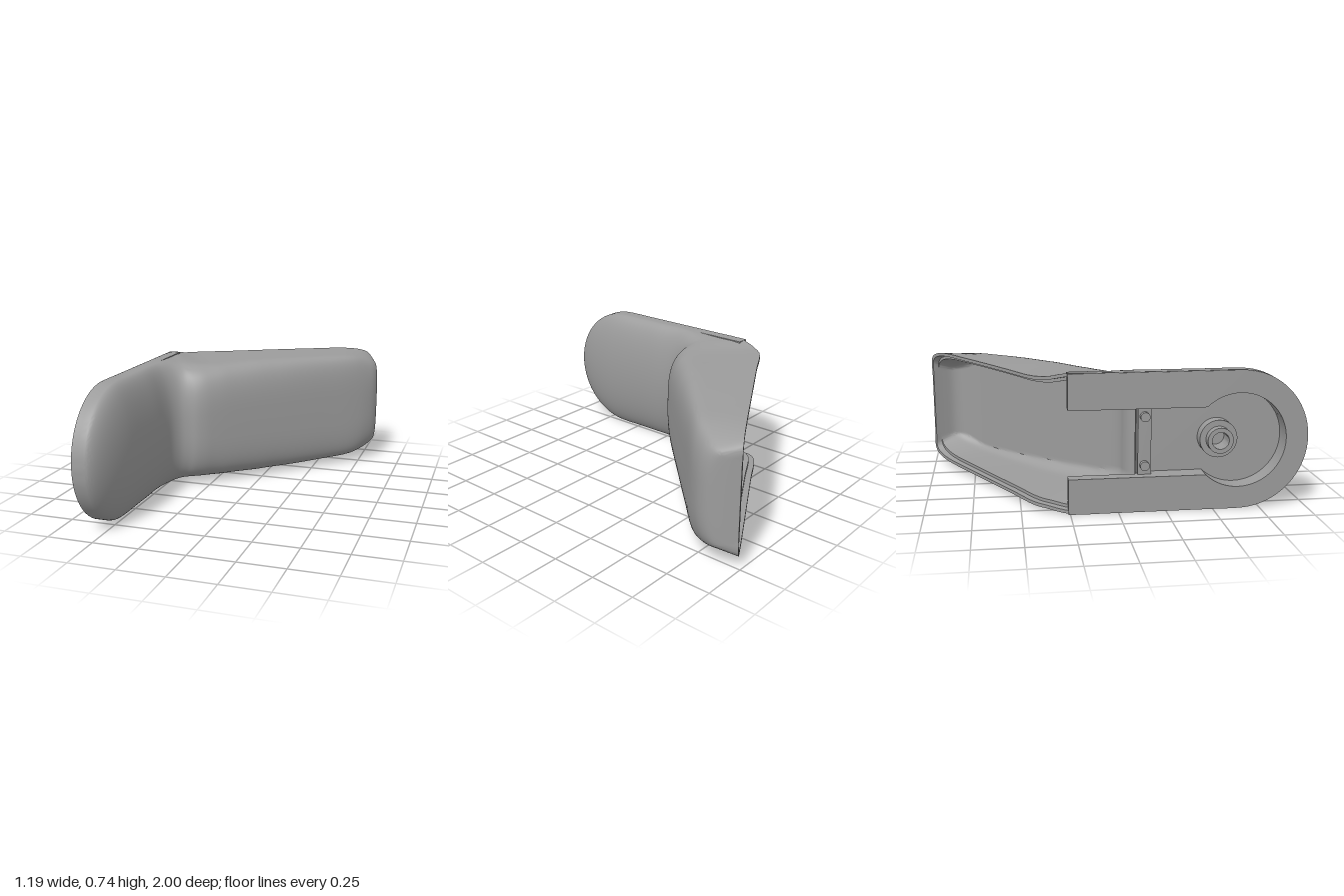
import * as THREE from 'three';
import { toCreasedNormals } from 'three/addons/utils/BufferGeometryUtils.js';

const MID = 0.37; // height of the symmetry plane
const { lerp, smoothstep } = THREE.MathUtils;

// Section: back x, z | front x, z | half-height at back, front | straight share | roundness
function stations() {
  const list = [];
  // rounded end of the arm
  for (let k = 0; k <= 8; k++) {
    const a = (k / 8) * Math.PI / 2, z = 0.63 + 0.37 * Math.cos(a), s = Math.sin(a);
    const depth = 0.06 + 0.11 * s;
    list.push([-0.59, z, -0.59 + depth, z, 0.37 * s, 0.37 * s, 0.06 / depth, 2]);
  }
  // straight arm
  for (const z of [0.5, 0.34]) list.push([-0.59, z, -0.42, z, 0.37, 0.37, 0.35, 2]);
  // bend: back x, z and front x, z
  const bend = [
    [-0.59, 0.12, -0.42, 0.2],
    [-0.59, 0, -0.408, 0.145],
    [-0.59, -0.1, -0.38, 0.105],
    [-0.59, -0.19, -0.34, 0.085],
    [-0.572, -0.26, -0.295, 0.075],
    [-0.56, -0.31, -0.25, 0.05],
    [-0.54, -0.36, -0.2, 0.007],
    [-0.49, -0.425, -0.12, -0.07],
  ];
  bend.forEach((p, i) => {
    const t = i / 7;
    list.push([...p, 0.37 - 0.026 * smoothstep(t, 0.5, 1),
      0.37 - 0.035 * smoothstep(t, 0, 0.6), lerp(0.35, 0.66, t), lerp(2, 3.5, t)]);
  });
  // straight head
  for (let i = 1; i <= 4; i++) {
    const t = i / 4;
    list.push([lerp(-0.49, 0.36, t), lerp(-0.425, -0.909, t), lerp(-0.12, 0.48, t),
      lerp(-0.07, -0.665, t), 0.342 - 0.007 * t ** 3, 0.342 - 0.03 * t ** 3, 0.64, 3.5]);
  }
  // rounded tip: back, front and half-heights
  const tip = [
    [0.45, -0.96, 0.545, -0.74, 0.322, 0.28],
    [0.495, -0.986, 0.58, -0.8, 0.303, 0.25],
    [0.515, -0.997, 0.589, -0.855, 0.28, 0.235],
    [0.52, -1, 0.57, -0.91, 0.255, 0.225],
    [0.52, -1, 0.521, -0.998, 0.22, 0.22],
  ];
  tip.forEach((p) => list.push([...p, 0.6, 3]));
  return list;
}

// Hollow shell with a stepped rim, skinned over the sections
function shellGeometry() {
  const st = stations(), n = st.length - 1;
  const curve = (i, j, k) => new THREE.CatmullRomCurve3(
    st.map((s) => new THREE.Vector3(s[i], s[j], k === undefined ? 0 : s[k])));
  const back = curve(0, 1, 4), front = curve(2, 3, 5), form = curve(6, 7);
  const ARC = 36, ROWS = n * 4;
  const pos = [], idx = [];

  // one skin of a section, from the lower rim round the front to the upper rim
  const skin = (u, rimInset, wall) => {
    const b = back.getPoint(u), f = front.getPoint(u), q = form.getPoint(u);
    const dx = f.x - b.x, dz = f.y - b.y, D = Math.hypot(dx, dz) || 1e-5;
    const shift = smoothstep(u, 1 - 6 / n, 1) * rimInset * 1.2;
    const point = (share, sy, inset) => {
      const reach = Math.min(share, Math.max(0, 1 - wall / D));
      const h = Math.max(0, lerp(b.z, f.z, share) - inset);
      return [b.x + dx * reach - 0.87 * shift, MID + sy * h, b.y + dz * reach + 0.49 * shift];
    };
    const step = Math.min(0.035 / D, q.x * 0.5);
    const pts = [point(0, -1, rimInset), point(step, -1, rimInset), point(step, -1, wall)];
    for (let i = 0; i <= ARC; i++) {
      const a = (i / ARC) * Math.PI, c = Math.cos(a), e = 2 / q.y;
      const bulge = Math.max(0, Math.sin(a)) ** e;
      const y = Math.abs(c) < 1e-6 ? 0 : -Math.sign(c) * Math.abs(c) ** e;
      pts.push(point(q.x + (1 - q.x) * bulge, y, wall));
    }
    pts.push(point(step, 1, wall), point(step, 1, rimInset), point(0, 1, rimInset));
    return pts;
  };

  let count = 0;
  for (let r = 0; r <= ROWS; r++) {
    const loop = [...skin(r / ROWS, 0, 0), ...skin(r / ROWS, 0.018, 0.035).reverse()];
    count = loop.length;
    loop.forEach((p) => pos.push(...p));
  }
  for (let r = 0; r < ROWS; r++) {
    for (let i = 0; i < count; i++) {
      const a = r * count + i, b = r * count + (i + 1) % count;
      idx.push(a, a + count, b, b, a + count, b + count);
    }
  }
  // rim face at the tip
  const last = ROWS * count;
  for (let i = 0; i < count / 2 - 1; i++) {
    const a = last + i, b = a + 1, c = last + count - 1 - i, d = c - 1;
    idx.push(a, c, b, b, c, d);
  }
  const g = new THREE.BufferGeometry();
  g.setAttribute('position', new THREE.Float32BufferAttribute(pos, 3));
  g.setIndex(idx);
  return toCreasedNormals(g, 0.6);
}

// Shapes drawn as (z, y) and extruded along +x from the given x
function extrudeX(shape, x, depth) {
  const g = new THREE.ExtrudeGeometry(shape, { depth, bevelEnabled: false, curveSegments: 32 });
  g.rotateY(-Math.PI / 2).translate(x + depth, 0, 0);
  return toCreasedNormals(g, 0.5);
}

// Forked plate: outer stadium radius, keyhole opening toward the head
function forkShape(outer, zEnd) {
  const half = 0.18, r = 0.25, a = Math.asin(half / r), zJoin = 0.63 - r * Math.cos(a);
  const s = new THREE.Shape();
  s.moveTo(zEnd, MID - outer);
  s.lineTo(0.63, MID - outer);
  s.absarc(0.63, MID, outer, -Math.PI / 2, Math.PI / 2, false);
  s.lineTo(zEnd, MID + outer);
  s.lineTo(zEnd, MID + half);
  s.lineTo(zJoin, MID + half);
  s.absarc(0.63, MID, r, Math.PI - a, -Math.PI + a, true);
  s.lineTo(zEnd, MID - half);
  s.closePath();
  return s;
}

export function createModel() {
  const group = new THREE.Group();
  const grey = new THREE.MeshStandardMaterial({ color: 0x9c9c9c, side: THREE.DoubleSide });
  grey.name = 'grey plastic';
  const add = (name, geometry, x = 0, y = 0, z = 0) => {
    const m = new THREE.Mesh(geometry, grey);
    m.name = name;
    m.position.set(x, y, z);
    group.add(m);
  };

  add('housingShell', shellGeometry());

  // mounting face of the arm and the walls of its pocket
  add('mountingPlate', extrudeX(forkShape(0.368, -0.26), -0.595, 0.065));
  add('pocketWall', extrudeX(forkShape(0.29, 0.1), -0.535, 0.06));

  // pocket floor
  const floor = new THREE.Shape();
  floor.moveTo(0.1, MID - 0.2);
  floor.lineTo(0.63, MID - 0.27);
  floor.absarc(0.63, MID, 0.27, -Math.PI / 2, Math.PI / 2, false);
  floor.lineTo(0.1, MID + 0.2);
  floor.closePath();
  add('pocketFloor', extrudeX(floor, -0.49, 0.015));

  // pivot boss: stepped ring with a bore
  const boss = new THREE.LatheGeometry([
    [0.045, 0], [0.045, 0.11], [0.068, 0.11], [0.068, 0.065], [0.1, 0.065], [0.1, 0],
  ].map(([r, h]) => new THREE.Vector2(r, h)), 36);
  boss.rotateZ(Math.PI / 2);
  add('pivotBoss', toCreasedNormals(boss, 0.5), -0.488, MID, 0.53);

  // cross rib with two screw posts
  add('crossRib', new THREE.BoxGeometry(0.06, 0.36, 0.07), -0.515, MID, 0.14);
  for (const s of [-1, 1]) {
    const post = new THREE.CylinderGeometry(0.025, 0.025, 0.03, 20).rotateZ(Math.PI / 2);
    add('screwPost', post, -0.555, MID + s * 0.13, 0.14);
  }
  return group;
}
